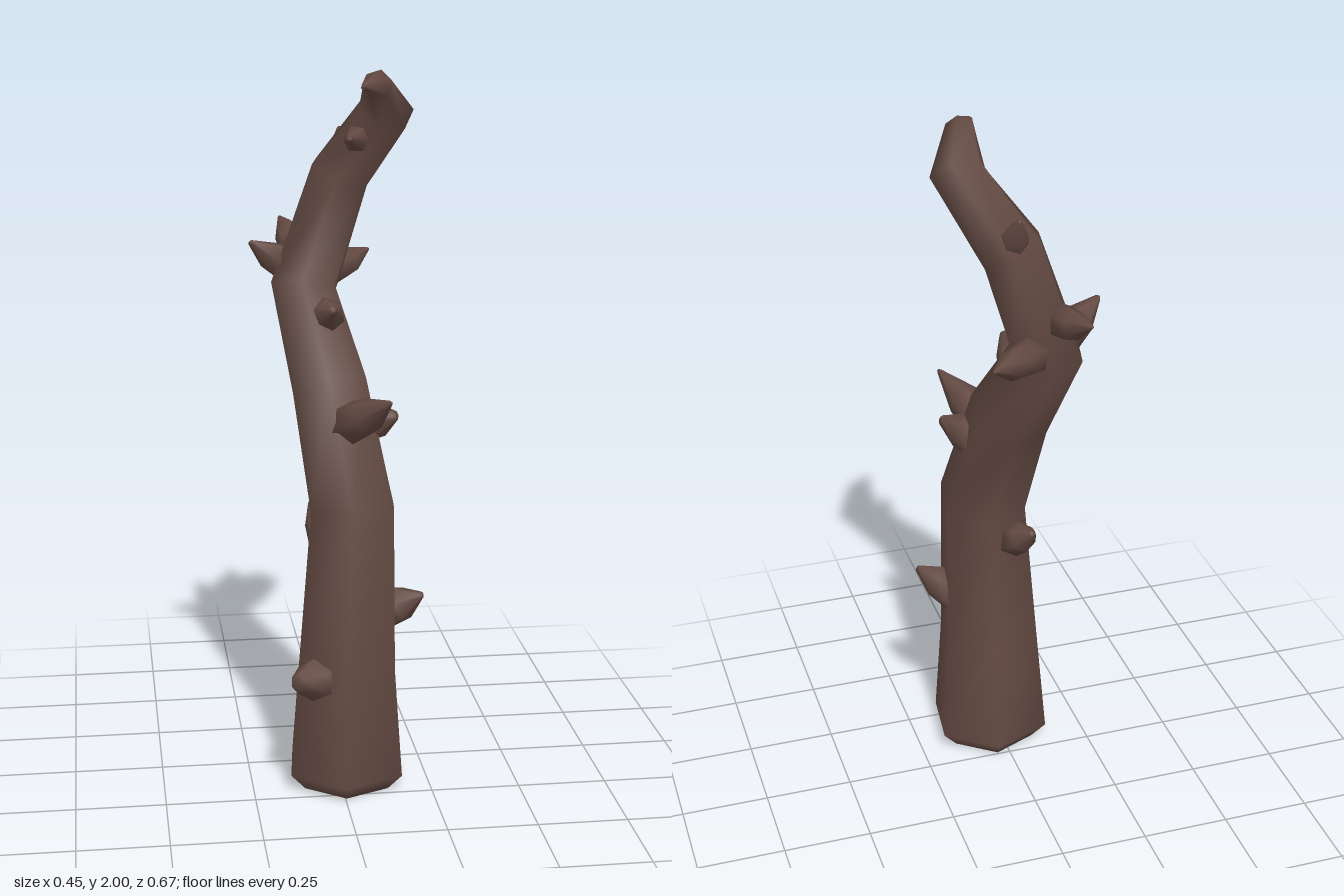
import * as THREE from 'three';

const SIDES = 6;
const UP = new THREE.Vector3(0, 1, 0);

// Closed, smooth six-sided limb swept through rings of [x, y, z, radius]
function limb(rings, phase, firstTangent) {
  const pts = rings.map(([x, y, z]) => new THREE.Vector3(x, y, z));
  const pos = [], idx = [], n = rings.length;
  const turn = new THREE.Quaternion(), axis = UP.clone();
  pts.forEach((p, i) => {
    const t = new THREE.Vector3();
    if (i > 0) t.add(p.clone().sub(pts[i - 1]).normalize());
    if (i < n - 1) t.add(pts[i + 1].clone().sub(p).normalize());
    t.normalize();
    if (i === 0 && firstTangent) t.copy(firstTangent);
    // carry the frame along without twisting
    turn.premultiply(new THREE.Quaternion().setFromUnitVectors(axis, t));
    axis.copy(t);
    for (let j = 0; j < SIDES; j++) {
      const a = phase + (j / SIDES) * Math.PI * 2;
      const v = new THREE.Vector3(Math.cos(a), 0, Math.sin(a));
      v.multiplyScalar(rings[i][3]).applyQuaternion(turn).add(p);
      pos.push(v.x, v.y, v.z);
    }
  });
  const bottom = n * SIDES, top = bottom + 1;
  pos.push(...pts[0].toArray(), ...pts[n - 1].toArray());
  for (let j = 0; j < SIDES; j++) {
    const k = (j + 1) % SIDES, last = (n - 1) * SIDES;
    for (let i = 0; i < n - 1; i++) {
      const a = i * SIDES + j, b = i * SIDES + k;
      idx.push(a, a + SIDES, b, b, a + SIDES, b + SIDES);
    }
    idx.push(bottom, j, k, top, last + k, last + j);
  }
  const g = new THREE.BufferGeometry();
  g.setAttribute('position', new THREE.Float32BufferAttribute(pos, 3));
  g.setIndex(idx);
  g.computeVertexNormals();
  return g;
}

export function createModel() {
  const group = new THREE.Group();
  group.name = 'thornyVine';
  const bark = new THREE.MeshStandardMaterial({ color: 0x644a43 });
  bark.name = 'brownBark';

  const add = (name, geometry) => {
    const mesh = new THREE.Mesh(geometry, bark);
    mesh.name = name;
    group.add(mesh);
  };

  // Winding stem, hooked at the top
  add('stem', limb([
    [0.02, 0, 0.14, 0.135],
    [0.02, 0.05, 0.14, 0.18],
    [0.02, 0.37, 0.15, 0.153],
    [0.033, 0.82, 0.157, 0.131],
    [-0.015, 1.13, 0.055, 0.118],
    [-0.07, 1.39, -0.11, 0.102],
    [0.035, 1.7, -0.13, 0.092],
    [0.147, 1.885, -0.02, 0.078],
    [0.105, 1.962, 0.09, 0.042],
    [0.06, 1.962, 0.158, 0.008],
  ], 0.645, UP));

  // Thorns: base point, tip point, base radius, tip bluntness
  const thorns = [
    [[-0.04, 0.35, 0.2], [-0.135, 0.355, 0.285], 0.078, 0.35],
    [[0.12, 0.515, 0.145], [0.223, 0.575, 0.213], 0.066, 0.15],
    [[-0.03, 0.72, 0.06], [-0.06, 0.78, -0.033], 0.056, 0.2],
    [[0.015, 1.05, 0.15], [0.112, 1.155, 0.333], 0.066, 0.12],
    [[0.06, 1.045, 0.1], [0.153, 1.08, 0.175], 0.066, 0.2],
    [[-0.02, 1.32, -0.02], [-0.012, 1.36, 0.1], 0.058, 0.2],
    [[-0.1, 1.44, -0.135], [-0.223, 1.52, -0.087], 0.058, 0.15],
    [[-0.085, 1.5, -0.16], [-0.116, 1.552, -0.335], 0.052, 0.12],
    [[0, 1.42, -0.18], [0.143, 1.455, -0.323], 0.056, 0.12],
    [[0.045, 1.73, -0.165], [0.045, 1.82, -0.228], 0.044, 0.15],
    [[0.08, 1.81, -0.05], [0.03, 1.82, 0.103], 0.042, 0.2],
  ];
  thorns.forEach(([base, tip, r, blunt], i) => {
    // sagging middle ring makes each thorn curve upwards
    const at = (t, sag) => base.map((b, k) => b + (tip[k] - b) * t - (k === 1 ? sag : 0));
    add(`thorn${i + 1}`, limb([
      [...base, r],
      [...at(0.5, 0.006), r * 0.76],
      [...at(0.97, 0), r * blunt],
      [...tip, r * blunt * 0.5],
    ], 0.3));
  });
  return group;
}
